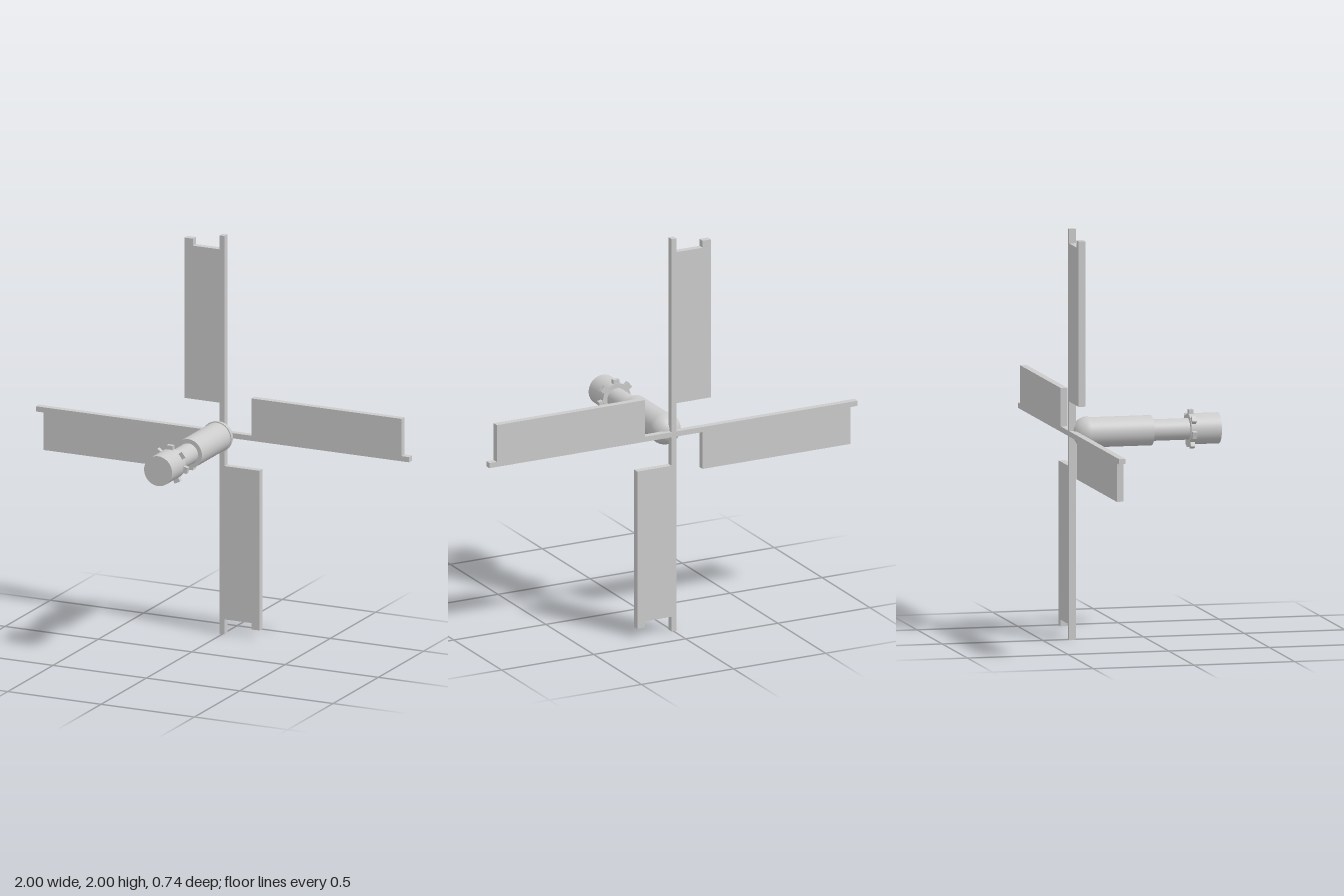
import * as THREE from 'three';

const AXIS_Y = 1.005;        // height of the shaft axis
const SAIL_Z = -0.373;       // back plane of the sails
const SAIL_DEPTH = 0.033;

export function createModel() {
  const model = new THREE.Group();
  const material = new THREE.MeshStandardMaterial({ color: 0xcccccc });

  const add = (name, geometry, parent = model) => {
    const mesh = new THREE.Mesh(geometry, material);
    mesh.name = name;
    parent.add(mesh);
    return mesh;
  };

  // Flat slab cut from an outline in the sail plane
  const slab = (name, points) => {
    const shape = new THREE.Shape(points.map(([x, y]) => new THREE.Vector2(x, y)));
    const geometry = new THREE.ExtrudeGeometry(shape, { depth: SAIL_DEPTH, bevelEnabled: false });
    geometry.translate(0, 0, SAIL_Z);
    return add(name, geometry);
  };
  const rect = (x0, x1, y0, y1) => [[x0, y0], [x1, y0], [x1, y1], [x0, y1]];

  // Crossed spars, split around the vertical one
  slab('verticalSpar', rect(-0.015, 0.011, 0, 2));
  slab('leftSpar', rect(0.011, 1, 0.99, 1.016));
  slab('rightSpar', rect(-1, -0.015, 0.99, 1.016));

  // Side sails are plain panels, upper and lower ones end in a short prong
  slab('leftSail', rect(0.155, 0.96, 1.016, 1.203));
  slab('rightSail', rect(-0.96, -0.158, 0.802, 0.99));
  slab('upperSail', [
    [-0.203, 1.16], [-0.015, 1.16], [-0.015, 1.93],
    [-0.158, 1.93], [-0.158, 1.965], [-0.203, 1.965],
  ]);
  slab('lowerSail', [
    [0.011, 0.845], [0.011, 0.075], [0.155, 0.075],
    [0.155, 0.043], [0.197, 0.043], [0.197, 0.845],
  ]);

  // Shaft along z
  const shaft = new THREE.Group();
  shaft.name = 'shaft';
  shaft.position.y = AXIS_Y;
  model.add(shaft);

  const rod = (name, radius, z0, z1) => {
    const geometry = new THREE.CylinderGeometry(radius, radius, z1 - z0, 40);
    geometry.rotateX(Math.PI / 2);
    geometry.translate(0, 0, (z0 + z1) / 2);
    return add(name, geometry, shaft);
  };
  rod('shaftSleeve', 0.073, -0.277, 0.037);
  rod('shaftNeck', 0.052, 0.03, 0.225);
  rod('shaftHead', 0.075, 0.22, 0.371);

  // Rounded hub cap, with a flat rim facing forwards
  const dome = new THREE.SphereGeometry(0.078, 40, 12, 0, Math.PI * 2, 0, Math.PI / 2);
  dome.rotateX(-Math.PI / 2);
  dome.translate(0, 0, -0.277);
  add('hubCap', dome, shaft);
  const rim = new THREE.CircleGeometry(0.078, 40);
  rim.translate(0, 0, -0.277);
  add('hubCapRim', rim, shaft);

  // Seven cogs around the back edge of the head
  const COGS = 7;
  for (let i = 0; i < COGS; i++) {
    const geometry = new THREE.BoxGeometry(0.032, 0.035, 0.022);
    geometry.translate(0, 0.0775, 0.233);
    add('cog', geometry, shaft).rotation.z = (i / COGS) * Math.PI * 2;
  }

  return model;
}
